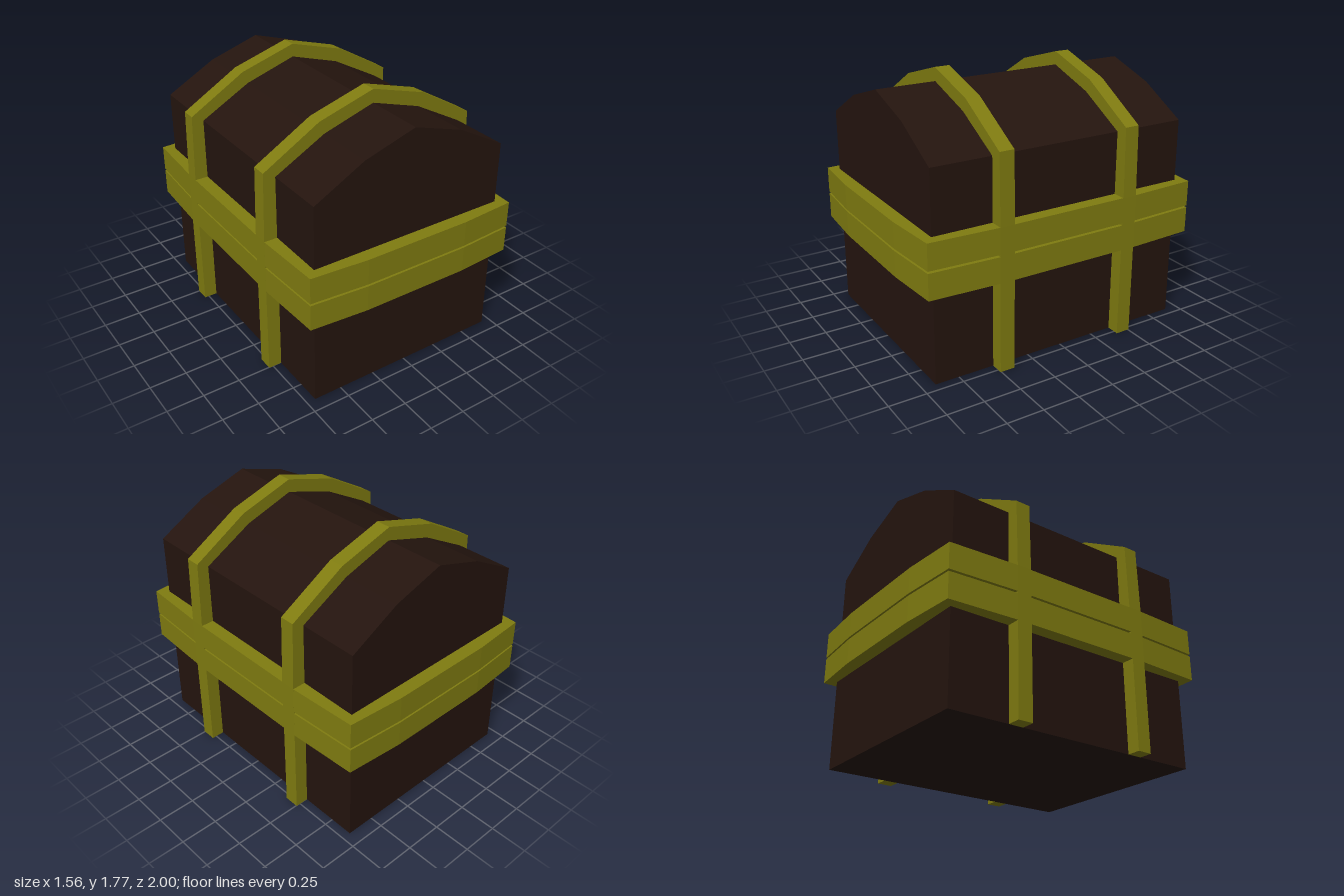
import * as THREE from 'three';

const wood = new THREE.MeshStandardMaterial({ color: 0x24140e, flatShading: true });
const trim = new THREE.MeshStandardMaterial({ color: 0x7f7b10, flatShading: true });

// Right-hand half profiles (+x), from the floor up to the ridge
const bodyHalf = [[0.69, 0], [0.69, 1.385], [0.35, 1.57], [0, 1.68]];
const strapHalf = [[0.78, 0], [0.78, 0.97], [0.77, 1.43], [0.385, 1.655], [0, 1.77]];

const toVectors = (pts) => pts.map(([x, y]) => new THREE.Vector2(x, y));

// Mirror a half profile across x = 0, sharing the ridge point
function mirrorX(half) {
  const other = half.slice(0, -1).reverse().map(([x, y]) => [-x, y]);
  return [...half, ...other];
}

function extrude(shape, depth) {
  return new THREE.ExtrudeGeometry(shape, { depth, bevelEnabled: false });
}

export function createModel() {
  const group = new THREE.Group();
  const add = (name, geometry, material) => {
    const mesh = new THREE.Mesh(geometry, material);
    mesh.name = name;
    group.add(mesh);
  };

  // Wooden box with its faceted domed lid
  const bodyOutline = mirrorX(bodyHalf);
  const body = extrude(new THREE.Shape(toVectors(bodyOutline)), 1.82);
  add('chestBody', body.translate(0, 0, -0.91), wood);

  // Straps arching from floor to floor over the lid
  const strapOutline = [...mirrorX(strapHalf), ...bodyOutline.slice().reverse()];
  for (const [name, z] of [['frontStrap', 0.455], ['backStrap', -0.455]]) {
    const strap = extrude(new THREE.Shape(toVectors(strapOutline)), 0.1);
    add(name, strap.translate(0, 0, z - 0.05), trim);
  }

  // Slightly bowed bands around the rim of the box and of the lid
  const quarter = [[0.78, 0.5], [0.757, 0.972], [0.37, 1]];
  const half = [...quarter, ...quarter.slice().reverse().map(([x, y]) => [-x, y])];
  const bandOutline = [...half, ...half.map(([x, y]) => [-x, -y])];
  const inner = [[0.69, 0.91], [0.69, -0.91], [-0.69, -0.91], [-0.69, 0.91]];
  for (const [name, y] of [['boxBand', 0.608], ['lidBand', 0.796]]) {
    const shape = new THREE.Shape(toVectors(bandOutline));
    shape.holes.push(new THREE.Path(toVectors(inner)));
    const band = extrude(shape, 0.174).rotateX(-Math.PI / 2);
    add(name, band.translate(0, y, 0), trim);
  }

  return group;
}
